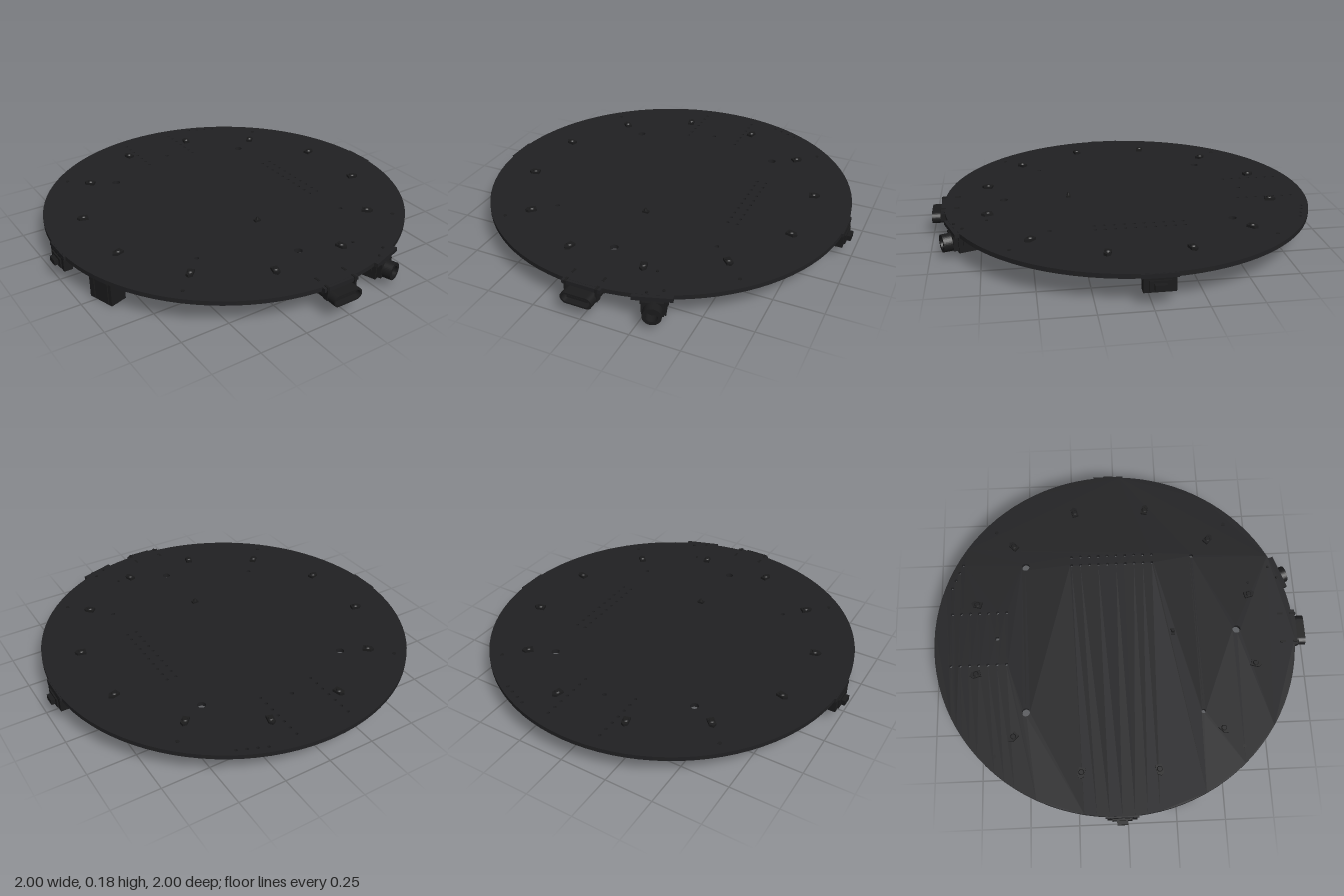
import * as THREE from 'three';

const CX = -0.016, CZ = -0.03, R = 0.967;   // board centre and radius
const TOP = 0.156, UNDER = 0.133;           // board faces
const boardMat = new THREE.MeshStandardMaterial({ color: 0x202022 });
const partMat = new THREE.MeshStandardMaterial({ color: 0x1b1b1c });

function add(parent, name, geo, x = 0, y = 0, z = 0, mat = partMat) {
  const m = new THREE.Mesh(geo, mat);
  m.name = name;
  m.position.set(x, y, z);
  parent.add(m);
  return m;
}

function box(parent, name, w, h, d, x, y, z, mat) {
  return add(parent, name, new THREE.BoxGeometry(w, h, d), x, y, z, mat);
}

function groupAt(parent, name, x, z, angle = 0) {
  const g = new THREE.Group();
  g.name = name;
  g.position.set(x, 0, z);
  g.rotation.y = angle;
  parent.add(g);
  return g;
}

// Flat outline in x/z, thickened downwards from y = 0
function slab(shape, depth, curveSegments = 12) {
  return new THREE.ExtrudeGeometry(shape, { depth, bevelEnabled: false, curveSegments }).rotateX(Math.PI / 2);
}

function rectPath(Type, w, h) {
  const p = new Type();
  p.moveTo(-w / 2, -h / 2);
  p.lineTo(w / 2, -h / 2);
  p.lineTo(w / 2, h / 2);
  p.lineTo(-w / 2, h / 2);
  p.closePath();
  return p;
}

function stadium(Type, w, h) {
  const p = new Type(), r = h / 2, s = w / 2 - r;
  p.moveTo(-s, -r);
  p.lineTo(s, -r);
  p.absarc(s, 0, r, -Math.PI / 2, Math.PI / 2, false);
  p.lineTo(-s, r);
  p.absarc(-s, 0, r, Math.PI / 2, Math.PI * 1.5, false);
  return p;
}

function makeBoard(root) {
  const shape = new THREE.Shape();
  shape.absarc(CX, CZ, R, 0, Math.PI * 2, false);
  const hole = (x, z, r) => shape.holes.push(new THREE.Path().absarc(x, z, r, 0, Math.PI * 2, true));
  // mounting holes
  for (const [x, z] of [[-0.43, -0.508], [0.4, -0.508], [CX, 0.627]]) hole(x, z, 0.021);
  for (const [x, z] of [[CX, -0.66], [-0.462, 0.415], [0.43, 0.415]]) hole(x, z, 0.011);
  // header pin holes
  for (let i = 0; i < 7; i++) for (const x of [-0.163, 0.133]) hole(x, -0.905 + i * 0.049, 0.008);
  for (let i = 0; i < 10; i++) for (const x of [0.4, 0.45]) hole(x, -0.253 + i * 0.0496, 0.008);
  for (let i = 0; i < 4; i++) hole(0.288 + i * 0.0457, -0.91 + i * 0.019, 0.008);
  add(root, 'circuitBoard', slab(shape, TOP - UNDER, 48), 0, TOP, 0, boardMat);
  // edge tabs below the connectors
  const y = (TOP + UNDER) / 2, h = TOP - UNDER - 0.002;
  box(root, 'boardTabFront', 0.2, h, 0.12, CX, y, 0.89, boardMat);
  box(root, 'boardTabJack', 0.19, h, 0.1, 0.3, y, 0.85, boardMat).rotation.y = 0.32;
  for (const s of [-1, 1]) box(root, 'boardTabSide', 0.06, h, 0.17, CX + s * 0.942, y, CZ, boardMat);
}

// Twelve lights in a ring, each with a pointed end
function makeLights(root) {
  const s = new THREE.Shape();
  s.moveTo(-0.017, -0.028);
  s.lineTo(0.017, -0.028);
  s.lineTo(0.017, 0.016);
  s.lineTo(0, 0.03);
  s.lineTo(-0.017, 0.016);
  s.closePath();
  const geo = slab(s, 0.014);
  for (let i = 0; i < 12; i++) {
    const a = Math.PI / 12 + i * Math.PI / 6;
    const g = groupAt(root, 'ringLight', CX + 0.77 * Math.sin(a), CZ + 0.77 * Math.cos(a), a);
    add(g, 'lightBody', geo, 0, TOP + 0.013, 0);
    add(g, 'lightLens', new THREE.CylinderGeometry(0.011, 0.015, 0.006, 16), 0, TOP + 0.016, -0.004);
  }
  // small sensor near the middle
  box(root, 'sensorBase', 0.034, 0.01, 0.02, CX, TOP + 0.005, 0.283);
  add(root, 'sensorTip', new THREE.CylinderGeometry(0.006, 0.01, 0.016, 12), CX, TOP + 0.016, 0.283);
}

function makeSideButtons(root) {
  for (const s of [-1, 1]) {
    const g = groupAt(root, 'sideButton', CX + s * 0.95, CZ, s * Math.PI / 2);
    box(g, 'buttonBody', 0.15, 0.068, 0.045, 0, 0.1, 0);
    box(g, 'buttonFrame', 0.1, 0.05, 0.01, 0, 0.1, 0.025);
    box(g, 'buttonCap', 0.055, 0.028, 0.03, 0, 0.099, 0.036);
  }
}

// Flat rounded data socket at the front
function makeDataSocket(root) {
  const g = groupAt(root, 'dataSocket', CX, 0.84);
  const shell = stadium(THREE.Shape, 0.165, 0.06);
  shell.holes.push(stadium(THREE.Path, 0.145, 0.042));
  add(g, 'socketShell', new THREE.ExtrudeGeometry(shell, { depth: 0.16, bevelEnabled: false }), 0, 0.1, 0);
  box(g, 'socketBack', 0.14, 0.058, 0.02, 0, 0.1, 0.008);
  box(g, 'socketTongue', 0.11, 0.012, 0.13, 0, 0.1, 0.08);
  for (const s of [-1, 1]) for (const z of [0.03, 0.1])
    box(g, 'socketLeg', 0.012, 0.07, 0.03, s * 0.08, 0.123, z);
}

// Round plug jack, set radially
function makeJack(root) {
  const g = groupAt(root, 'plugJack', 0.285, 0.8, 0.33);
  box(g, 'jackBody', 0.115, 0.1, 0.21, 0, 0.085, -0.03);
  box(g, 'jackFace', 0.1, 0.075, 0.03, 0, 0.085, 0.085);
  const ring = new THREE.Shape().absarc(0, 0, 0.045, 0, Math.PI * 2, false);
  ring.holes.push(new THREE.Path().absarc(0, 0, 0.028, 0, Math.PI * 2, true));
  add(g, 'jackCollar', new THREE.ExtrudeGeometry(ring, { depth: 0.055, bevelEnabled: false, curveSegments: 20 }), 0, 0.08, 0.09);
  for (let i = 0; i < 4; i++) for (const s of [-1, 1])
    box(g, 'jackContact', 0.012, 0.05, 0.025, s * 0.06, 0.1, -0.11 + i * 0.05);
  for (const [x, z] of [[0.045, 0.05], [-0.03, 0.07], [0, -0.09]])
    add(g, 'jackPin', new THREE.CylinderGeometry(0.007, 0.007, 0.03, 10), x, TOP - 0.01, z);
}

// Tall socket opening downwards, with pins
function makePowerSocket(root) {
  const g = groupAt(root, 'powerSocket', -0.865, 0.262, Math.atan2(-0.95, 0.31));
  const wall = rectPath(THREE.Shape, 0.144, 0.09);
  wall.holes.push(rectPath(THREE.Path, 0.12, 0.066));
  add(g, 'socketWall', slab(wall, UNDER), 0, UNDER, 0);
  box(g, 'socketFloor', 0.13, 0.05, 0.076, 0, 0.105, 0);
  for (const s of [-1, 1]) {
    box(g, 'socketPin', 0.014, 0.1, 0.014, s * 0.03, 0.07, 0);
    box(g, 'socketRib', 0.016, 0.12, 0.01, s * 0.045, 0.065, 0.045);
  }
}

// Parts soldered on the underside: x, z, width, depth, height
function makeUnderside(root) {
  const chip = (name, x, z, w, d, h, a = 0) => {
    const m = box(root, name, w, h, d, x, UNDER - h / 2 + 0.001, z);
    m.rotation.y = a;
    return m;
  };
  chip('mainChip', -0.04, 0, 0.17, 0.17, 0.02);
  for (const [x, z, w, d, h] of [
    [0.13, -0.43, 0.11, 0.1, 0.045], [-0.04, -0.42, 0.13, 0.1, 0.015], [-0.2, -0.44, 0.1, 0.09, 0.012],
    [0.55, -0.06, 0.09, 0.07, 0.025], [0.61, -0.33, 0.07, 0.06, 0.02], [0.23, 0.46, 0.09, 0.08, 0.04],
    [0, 0.43, 0.09, 0.09, 0.03], [0.07, 0.53, 0.08, 0.08, 0.04], [-0.08, 0.25, 0.07, 0.06, 0.025],
    [-0.2, 0.38, 0.12, 0.08, 0.025], [-0.33, 0.77, 0.1, 0.06, 0.025], [-0.15, 0.62, 0.08, 0.07, 0.035],
    [-0.26, 0.5, 0.07, 0.08, 0.03], [0.11, 0.62, 0.12, 0.07, 0.045], [0.33, 0.53, 0.08, 0.08, 0.03],
    [-0.4, 0.64, 0.07, 0.06, 0.033], [0.08, -0.19, 0.06, 0.05, 0.033], [0.16, 0.33, 0.06, 0.05, 0.02],
  ]) {
    chip('chip', x, z, w, d, h);
    for (const s of [-1, 1]) chip('chipLeads', x + s * w / 2, z, 0.016, d * 0.75, h * 0.4);
  }
  // microphones around the rim
  for (const x of [-0.655, 0.62]) for (const z of [-0.67, 0.61]) {
    const a = Math.atan2(x - CX, z - CZ);
    chip('microphone', x, z, 0.085, 0.055, 0.022, a);
    add(root, 'microphonePort', new THREE.CylinderGeometry(0.01, 0.01, 0.003, 12), x, TOP, z);
  }
  // tiny components, spread by a seeded rule
  let seed = 7;
  const rnd = () => (seed = (seed * 16807) % 2147483647) / 2147483647;
  for (let i = 0; i < 70; i++) {
    const x = -0.42 + rnd() * 0.8, z = i < 48 ? 0.17 + rnd() * 0.55 : -0.4 + rnd() * 0.5;
    if (Math.hypot(x - CX, z - 0.627) < 0.06) continue;
    chip('tinyComponent', x, z, 0.034, 0.018, 0.012, rnd() < 0.5 ? 0 : Math.PI / 2);
  }
}

export function createModel() {
  const root = new THREE.Group();
  root.name = 'roundCircuitBoard';
  makeBoard(root);
  makeLights(root);
  makeSideButtons(root);
  makeDataSocket(root);
  makeJack(root);
  makePowerSocket(root);
  makeUnderside(root);
  return root;
}
